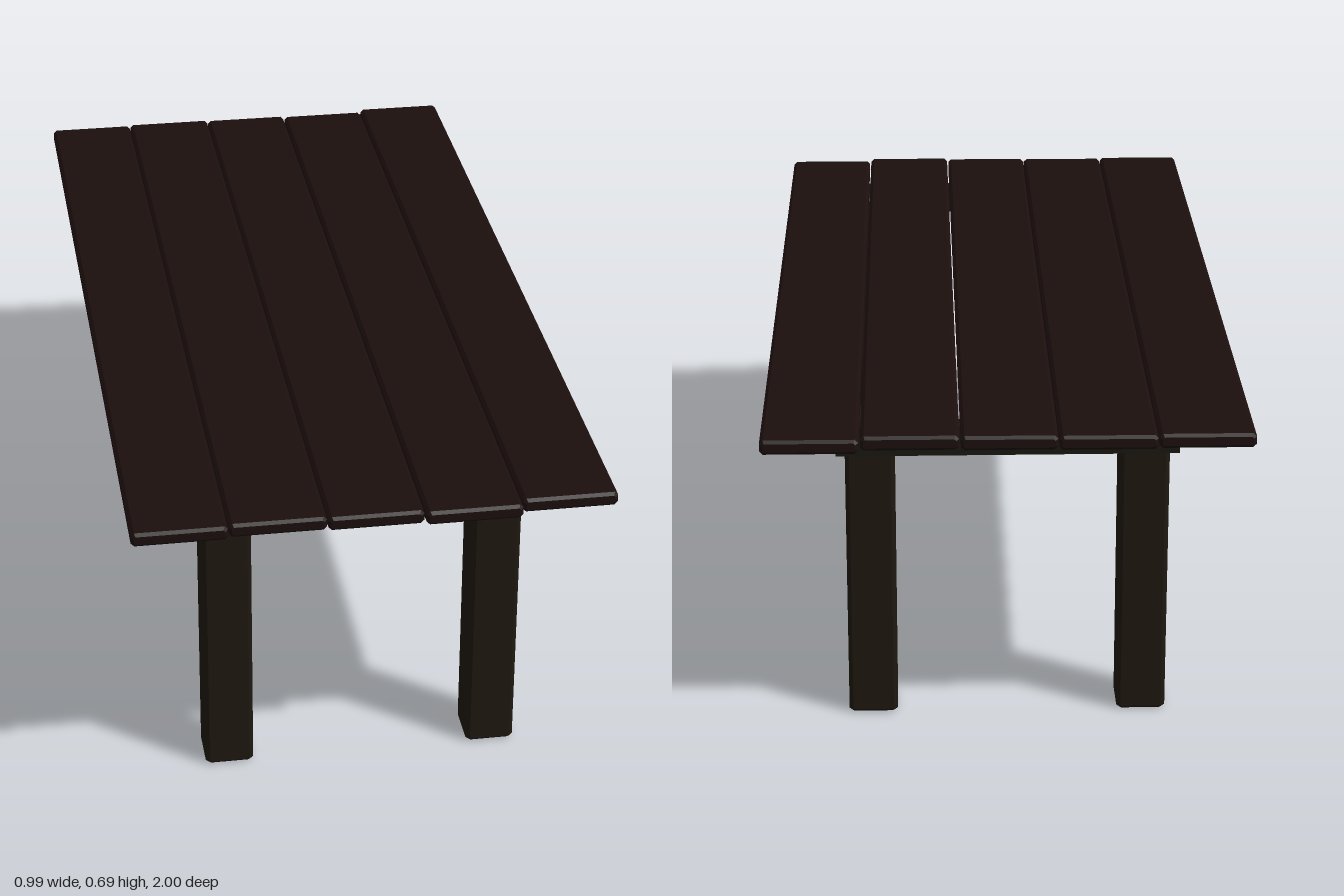
import * as THREE from 'three';

// Box between two corners with chamfered edges, extruded along z
function chamferedBox([x0, y0, z0], [x1, y1, z1], c) {
  const w = (x1 - x0) / 2 - c, h = (y1 - y0) / 2 - c, k = c * 0.6;
  const shape = new THREE.Shape([
    [w - k, -h], [w, k - h], [w, h - k], [w - k, h],
    [k - w, h], [-w, h - k], [-w, k - h], [k - w, -h],
  ].map(([x, y]) => new THREE.Vector2(x, y)));
  const geometry = new THREE.ExtrudeGeometry(shape, {
    depth: z1 - z0 - 2 * c, bevelThickness: c, bevelSize: c, bevelSegments: 1,
  });
  return geometry.translate((x0 + x1) / 2, (y0 + y1) / 2, z0 + c);
}

export function createModel() {
  const table = new THREE.Group();
  table.name = 'table';
  const plankWood = new THREE.MeshStandardMaterial({ color: 0x1c0f0e });
  const legWood = new THREE.MeshStandardMaterial({ color: 0x1e1810 });
  const railWood = new THREE.MeshStandardMaterial({ color: 0x1a1710 });

  const add = (name, geometry, material) => {
    const mesh = new THREE.Mesh(geometry, material);
    mesh.name = name;
    table.add(mesh);
    return mesh;
  };

  // Tabletop planks of slightly uneven length: [x0, x1, z0, z1]
  [
    [-0.495, -0.301, -0.985, 0.995],
    [-0.299, -0.102, -0.99, 0.988],
    [-0.1, 0.094, -0.987, 0.992],
    [0.097, 0.294, -0.983, 1],
    [0.297, 0.493, -1, 0.98],
  ].forEach(([x0, x1, z0, z1], i) =>
    add(`plank${i + 1}`, chamferedBox([x0, 0.656, z0], [x1, 0.686, z1], 0.006), plankWood));

  // Apron rails under the top
  const [left, right, back, front] = [-0.354, 0.347, -0.853, 0.865];
  const t = 0.04, bottom = 0.594, top = 0.658;
  const rail = (name, x0, x1, z0, z1) => {
    const geometry = new THREE.BoxGeometry(x1 - x0, top - bottom, z1 - z0);
    add(name, geometry.translate((x0 + x1) / 2, (top + bottom) / 2, (z0 + z1) / 2), railWood);
  };
  rail('rightRail', left, left + t, back, front);
  rail('leftRail', right - t, right, back, front);
  rail('backRail', left + t, right - t, back, back + t);
  rail('frontRail', left + t, right - t, front - t, front);

  // Square legs, extruded upright and reaching the underside of the planks
  const half = 0.051, height = 0.657;
  const legGeometry = chamferedBox([-half, -half, 0], [half, half, height], 0.007).rotateX(-Math.PI / 2);
  for (const [side, x] of [['Right', -0.286], ['Left', 0.278]]) {
    for (const [end, z] of [['front', 0.786], ['back', -0.772]]) {
      add(`${end}${side}Leg`, legGeometry, legWood).position.set(x, 0, z);
    }
  }
  return table;
}
